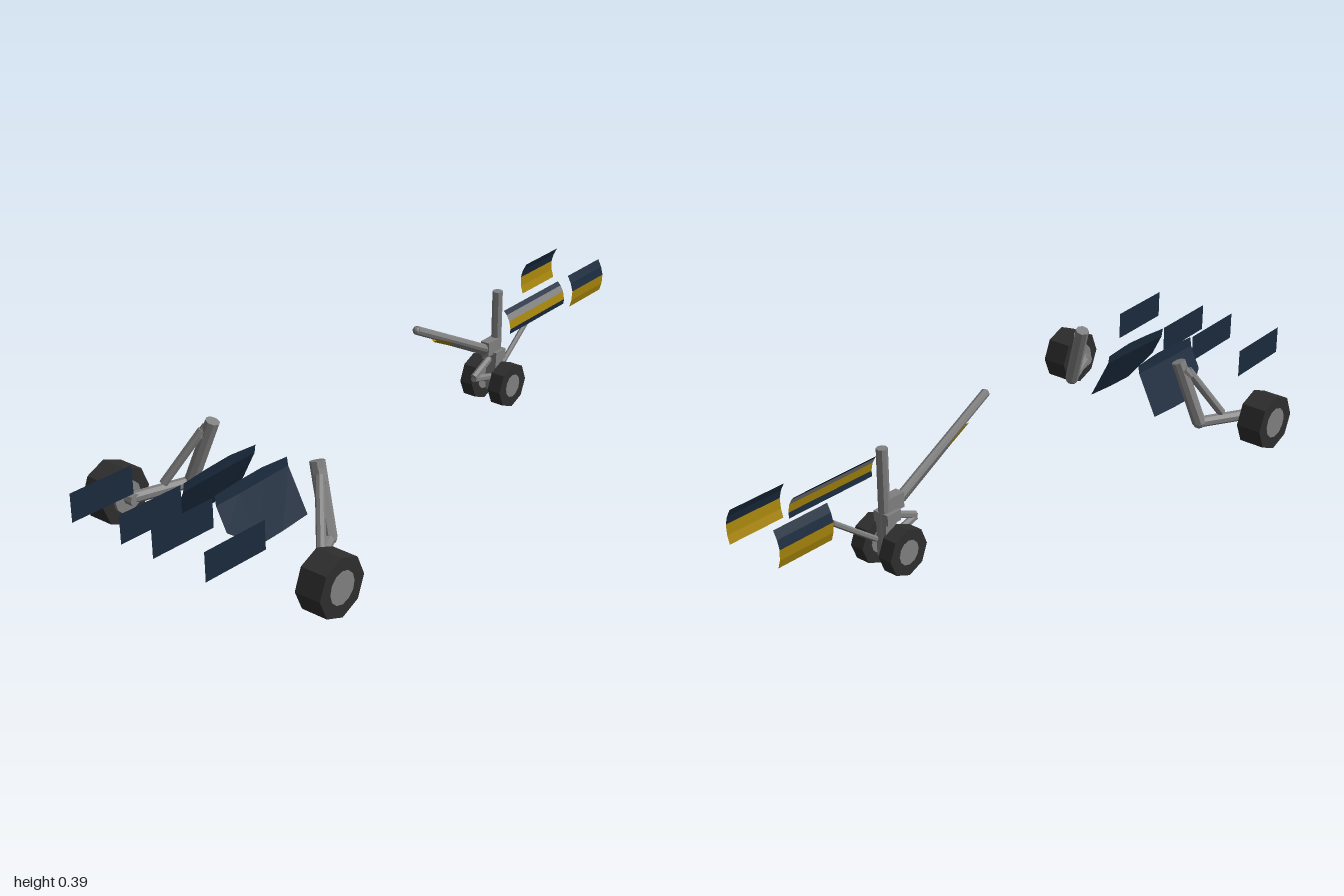
import * as THREE from 'three';

const mat = (color, side = THREE.FrontSide) =>
  new THREE.MeshStandardMaterial({ color, flatShading: true, side });
const METAL = mat(0x808080), RUBBER = mat(0x2e2e2e);
const NAVY = mat(0x1a2a3d, THREE.DoubleSide);
const YELLOW = mat(0xa8860c, THREE.DoubleSide);
const SILVER = mat(0x808080, THREE.DoubleSide);
const V = (p) => new THREE.Vector3(...p);

function add(parent, name, geometry, material) {
  const mesh = new THREE.Mesh(geometry, material);
  mesh.name = name;
  parent.add(mesh);
  return mesh;
}

// Round bar between two points
function bar(parent, name, a, b, r, sides = 8) {
  const from = V(a), dir = V(b).sub(from);
  const mesh = add(parent, name, new THREE.CylinderGeometry(r, r, dir.length(), sides), METAL);
  mesh.position.copy(from).addScaledVector(dir, 0.5);
  mesh.quaternion.setFromUnitVectors(new THREE.Vector3(0, 1, 0), dir.normalize());
  return mesh;
}

function joint(parent, name, p, r) {
  add(parent, name, new THREE.IcosahedronGeometry(r, 1), METAL).position.set(...p);
}

function box(parent, name, size, p) {
  add(parent, name, new THREE.BoxGeometry(...size), METAL).position.set(...p);
}

// Thin sheet joining two edges that have the same number of points
function sheet(parent, name, edgeA, edgeB, material) {
  const pos = [];
  for (let i = 0; i < edgeA.length - 1; i++) {
    const [a, b, c, d] = [edgeA[i], edgeB[i], edgeB[i + 1], edgeA[i + 1]];
    pos.push(...a, ...b, ...c, ...a, ...c, ...d);
  }
  const g = new THREE.BufferGeometry();
  g.setAttribute('position', new THREE.Float32BufferAttribute(pos, 3));
  g.computeVertexNormals();
  return add(parent, name, g, material);
}

// Eight-sided tyre with a round hub showing on both faces
function wheel(parent, name, x, y, z, radius, width, hubRadius, hubWidth, hubShift = 0) {
  const g = new THREE.Group();
  g.name = name;
  g.position.set(x, y, z);
  add(g, 'tyre', new THREE.CylinderGeometry(radius, radius, width, 8).rotateZ(Math.PI / 2), RUBBER);
  add(g, 'hub', new THREE.CylinderGeometry(hubRadius, hubRadius, hubWidth, 12).rotateZ(Math.PI / 2), METAL)
    .position.x = hubShift;
  parent.add(g);
}

function mainGear(s) {
  const g = new THREE.Group();
  g.name = s > 0 ? 'leftMainGear' : 'rightMainGear';
  const knee = [s * 0.245, 0.1, 0.558], axle = [s * 0.318, 0.092, 0.715];
  // Upper leg, trailing arm and diagonal shock strut
  bar(g, 'upperLeg', [s * 0.182, 0.292, 0.527], knee, 0.021);
  joint(g, 'knee', knee, 0.02);
  bar(g, 'trailingArm', knee, axle, 0.017);
  bar(g, 'shockStrut', [s * 0.205, 0.265, 0.545], [s * 0.277, 0.115, 0.63], 0.013);
  bar(g, 'shockBracket', [s * 0.198, 0.272, 0.53], [s * 0.209, 0.245, 0.548], 0.016);
  bar(g, 'axle', [s * 0.3, 0.092, 0.715], [s * 0.34, 0.092, 0.715], 0.018);
  wheel(g, 'mainWheel', s * 0.375, 0.0925, 0.715, 0.086, 0.08, 0.047, 0.089, -s * 0.0035);
  return g;
}

function mainDoors(s) {
  const g = new THREE.Group();
  g.name = s > 0 ? 'leftMainDoors' : 'rightMainDoors';
  // Large folded door with a clipped lower front corner
  const rows = [
    [[0.055, 0.25, 0.5], [0.059, 0.225, 0.5], [0.122, 0.1, 0.5]],
    [[0.055, 0.26, 0.6], [0.059, 0.225, 0.6], [0.122, 0.095, 0.6]],
    [[0.054, 0.258, 0.69], [0.059, 0.225, 0.69], [0.122, 0.095, 0.69]],
    [[0.053, 0.253, 0.775], [0.057, 0.225, 0.775], [0.09, 0.158, 0.775]],
  ].map((row) => row.map(([x, y, z]) => [s * x, y, z]));
  for (let i = 0; i < 3; i++) sheet(g, 'largeDoor', rows[i], rows[i + 1], NAVY);
  // Upright small doors, inner and outer
  for (const x of [0.055, 0.23]) {
    sheet(g, 'smallDoor',
      [[s * x, 0.252, 0.785], [s * x, 0.167, 0.785]],
      [[s * x, 0.262, 1], [s * x, 0.178, 1]], NAVY);
  }
  return g;
}

function noseGear() {
  const g = new THREE.Group();
  g.name = 'noseGear';
  // Main strut with collar and lower fork
  bar(g, 'strut', [0, 0.05, -0.546], [0, 0.362, -0.546], 0.016);
  box(g, 'collar', [0.052, 0.032, 0.05], [0, 0.158, -0.535]);
  box(g, 'fork', [0.036, 0.105, 0.04], [0, 0.092, -0.54]);
  bar(g, 'axle', [-0.05, 0.07, -0.533], [0.05, 0.07, -0.533], 0.014);
  // Forward drag brace and its mount
  bar(g, 'dragBrace', [0, 0.375, -0.135], [0, 0.185, -0.5], 0.013);
  joint(g, 'dragBraceEnd', [0, 0.372, -0.14], 0.013);
  box(g, 'braceMount', [0.03, 0.045, 0.06], [0, 0.19, -0.515]);
  // Folding torque links
  bar(g, 'torqueLinkUpper', [0, 0.15, -0.51], [0, 0.115, -0.43], 0.011, 6);
  bar(g, 'torqueLinkLower', [0, 0.085, -0.52], [0, 0.11, -0.43], 0.011, 6);
  bar(g, 'rearStay', [0, 0.105, -0.58], [0, 0.22, -0.734], 0.008, 6);
  for (const s of [1, -1]) {
    wheel(g, 'noseWheel', s * 0.0515, 0.07, -0.533, 0.07, 0.044, 0.036, 0.047);
  }
  // Narrow door hung beneath the drag brace
  const strip = (y, z) => [[-0.016, y + 0.012, z - 0.002], [0, y, z], [0.016, y + 0.012, z - 0.002]];
  sheet(g, 'braceDoorTip', strip(0.308, -0.22), strip(0.27, -0.296), YELLOW);
  sheet(g, 'braceDoor', strip(0.27, -0.296), strip(0.172, -0.48), SILVER);
  return g;
}

function noseDoors() {
  const g = new THREE.Group();
  g.name = 'noseDoors';
  // Curved doors made of coloured strips running front to back
  const stripes = (name, s, z0, z1, profile, colours) => colours.forEach((m, i) => {
    const edge = (z) => [profile[i], profile[i + 1]].map(([x, y]) => [s * x, y, z]);
    sheet(g, name, edge(z0), edge(z1), m);
  });
  for (const s of [1, -1]) {
    stripes('rearNoseDoor', s, -0.82, -1,
      [[0.078, 0.343], [0.09, 0.32], [0.097, 0.295], [0.095, 0.265], [0.088, 0.241]],
      [NAVY, NAVY, YELLOW, YELLOW]);
  }
  stripes('sideNoseDoor', 1, -0.52, -0.82,
    [[0.042, 0.316], [0.053, 0.305], [0.063, 0.287], [0.068, 0.262], [0.066, 0.246]],
    [NAVY, SILVER, YELLOW, NAVY]);
  return g;
}

export function createModel() {
  const model = new THREE.Group();
  model.name = 'landingGear';
  for (const s of [1, -1]) model.add(mainGear(s), mainDoors(s));
  model.add(noseGear(), noseDoors());
  return model;
}
